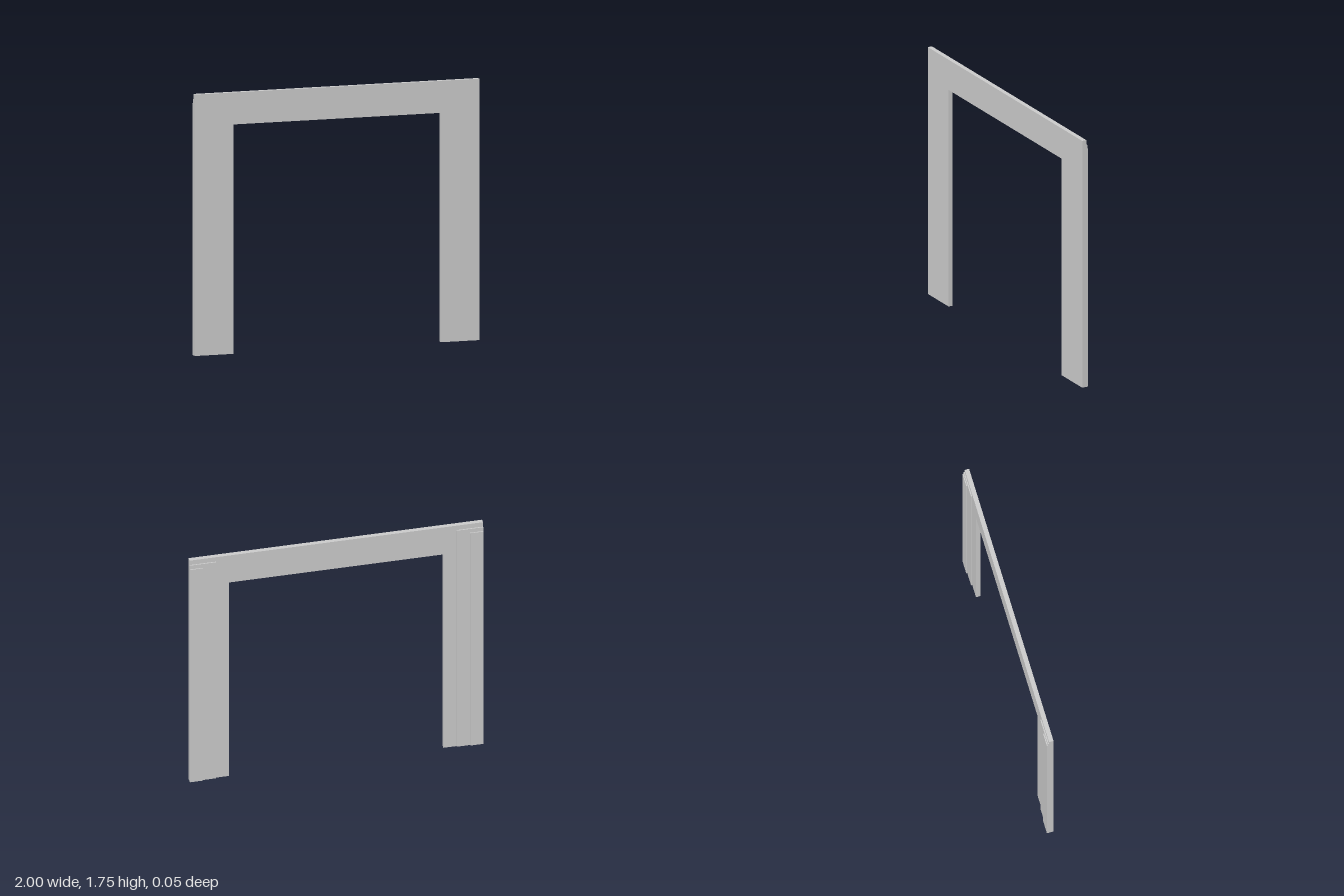
import * as THREE from 'three';

const FRONT = 0.023, HEIGHT = 1.755;

export function createModel() {
  const group = new THREE.Group();
  group.name = 'doorSurround';
  const material = new THREE.MeshStandardMaterial({ color: 0xcccccc, flatShading: true });

  const add = (name, geometry) => {
    const mesh = new THREE.Mesh(geometry, material);
    mesh.name = name;
    group.add(mesh);
    return mesh;
  };

  // Portal panel: two legs joined by a lintel
  const outline = new THREE.Shape([
    [-1, 0], [-0.73, 0], [-0.73, 1.54], [0.73, 1.54],
    [0.73, 0], [1, 0], [1, HEIGHT], [-1, HEIGHT],
  ].map(([x, y]) => new THREE.Vector2(x, y)));
  const depth = 0.031;
  add('portalFrame', new THREE.ExtrudeGeometry(outline, { depth, bevelEnabled: false }))
    .position.z = FRONT - depth;

  // Stepped strips on the back of each leg, each narrower and shorter than the last
  const strips = [
    { name: 'WideStrip', inner: 0.82, top: 1.72, near: -0.008, far: -0.016 },
    { name: 'NarrowStrip', inner: 0.91, top: 1.69, near: -0.016, far: -0.023 },
  ];
  for (const [label, side] of [['left', 1], ['right', -1]]) {
    for (const { name, inner, top, near, far } of strips) {
      add(label + name, new THREE.BoxGeometry(1 - inner, top, near - far))
        .position.set(side * (1 + inner) / 2, top / 2, (near + far) / 2);
    }
  }
  return group;
}
